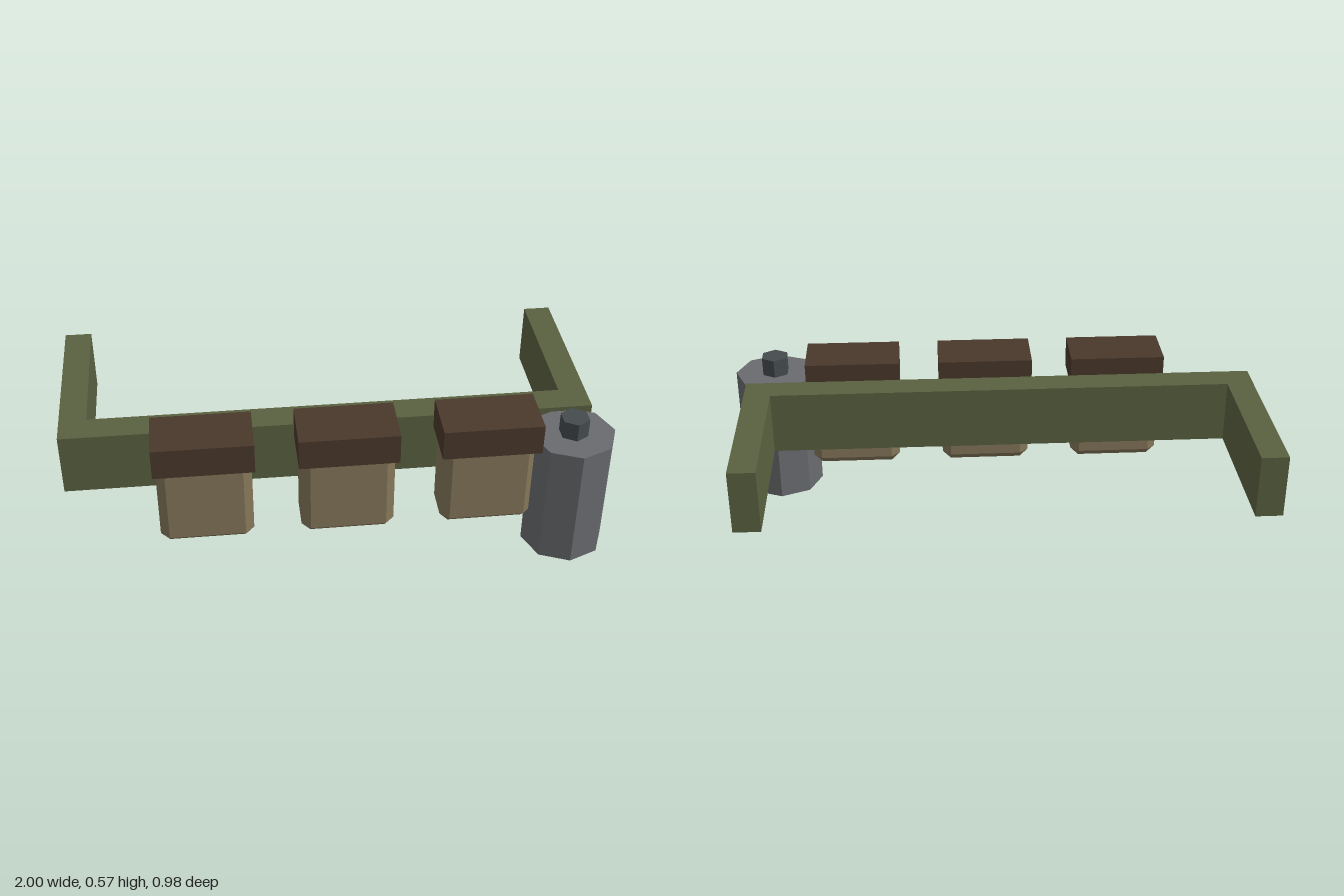
import * as THREE from 'three';
import { ConvexGeometry } from 'three/addons/geometries/ConvexGeometry.js';

function material(name, color) {
  const m = new THREE.MeshStandardMaterial({ color });
  m.name = name;
  return m;
}

// Box with every edge cut at 45 degrees
function chamferedBox(w, h, d, c) {
  const points = [];
  for (const sx of [-1, 1]) for (const sy of [-1, 1]) for (const sz of [-1, 1]) {
    const x = w / 2, y = h / 2, z = d / 2;
    points.push(
      new THREE.Vector3(sx * x, sy * (y - c), sz * (z - c)),
      new THREE.Vector3(sx * (x - c), sy * y, sz * (z - c)),
      new THREE.Vector3(sx * (x - c), sy * (y - c), sz * z));
  }
  return new ConvexGeometry(points);
}

// Flat-sided upright cylinder
function prism(radius, height, sides) {
  return new THREE.CylinderGeometry(radius, radius, height, sides).toNonIndexed();
}

export function createModel() {
  const model = new THREE.Group();
  model.name = 'utilityBelt';

  const webbing = material('olive webbing', 0x5a6140);
  const canvas = material('tan canvas', 0x85775a);
  const leather = material('brown leather', 0x4a382b);
  const metal = material('grey metal', 0x6a6b6f);
  const darkMetal = material('dark metal', 0x454b4e);
  metal.flatShading = darkMetal.flatShading = true;

  const add = (parent, name, geometry, mat, x, y, z) => {
    const mesh = new THREE.Mesh(geometry, mat);
    mesh.name = name;
    mesh.position.set(x, y, z);
    parent.add(mesh);
  };

  // U-shaped belt in one piece, drawn from above and extruded upwards
  const outline = [
    [-1, -0.2], [0.945, -0.2], [0.945, 0.487], [0.845, 0.487],
    [0.845, -0.09], [-0.9, -0.09], [-0.9, 0.487], [-1, 0.487],
  ].map(([x, y]) => new THREE.Vector2(x, y));
  const belt = new THREE.ExtrudeGeometry(new THREE.Shape(outline), { depth: 0.238, bevelEnabled: false });
  belt.rotateX(-Math.PI / 2);
  add(model, 'belt', belt, webbing, 0, 0.259, 0);

  // Three pouches along the front
  const bodyGeometry = chamferedBox(0.34, 0.4, 0.18, 0.032);
  const lidGeometry = new THREE.BoxGeometry(0.36, 0.117, 0.203);
  for (const x of [-0.488, 0.025, 0.537]) {
    const pouch = new THREE.Group();
    pouch.name = 'pouch';
    pouch.position.x = x;
    add(pouch, 'pouchBody', bodyGeometry, canvas, 0, 0.325, 0.293);
    add(pouch, 'pouchLid', lidGeometry, leather, 0, 0.5075, 0.3005);
    model.add(pouch);
  }

  // Eight-sided canister with a hexagonal cap
  const canister = new THREE.Group();
  canister.name = 'canister';
  canister.position.set(0.843, 0, 0.334);
  add(canister, 'canisterBody', prism(0.154, 0.48, 8), metal, 0, 0.24, 0);
  add(canister, 'canisterCap', prism(0.054, 0.07, 6), darkMetal, 0, 0.515, 0);
  model.add(canister);

  return model;
}
